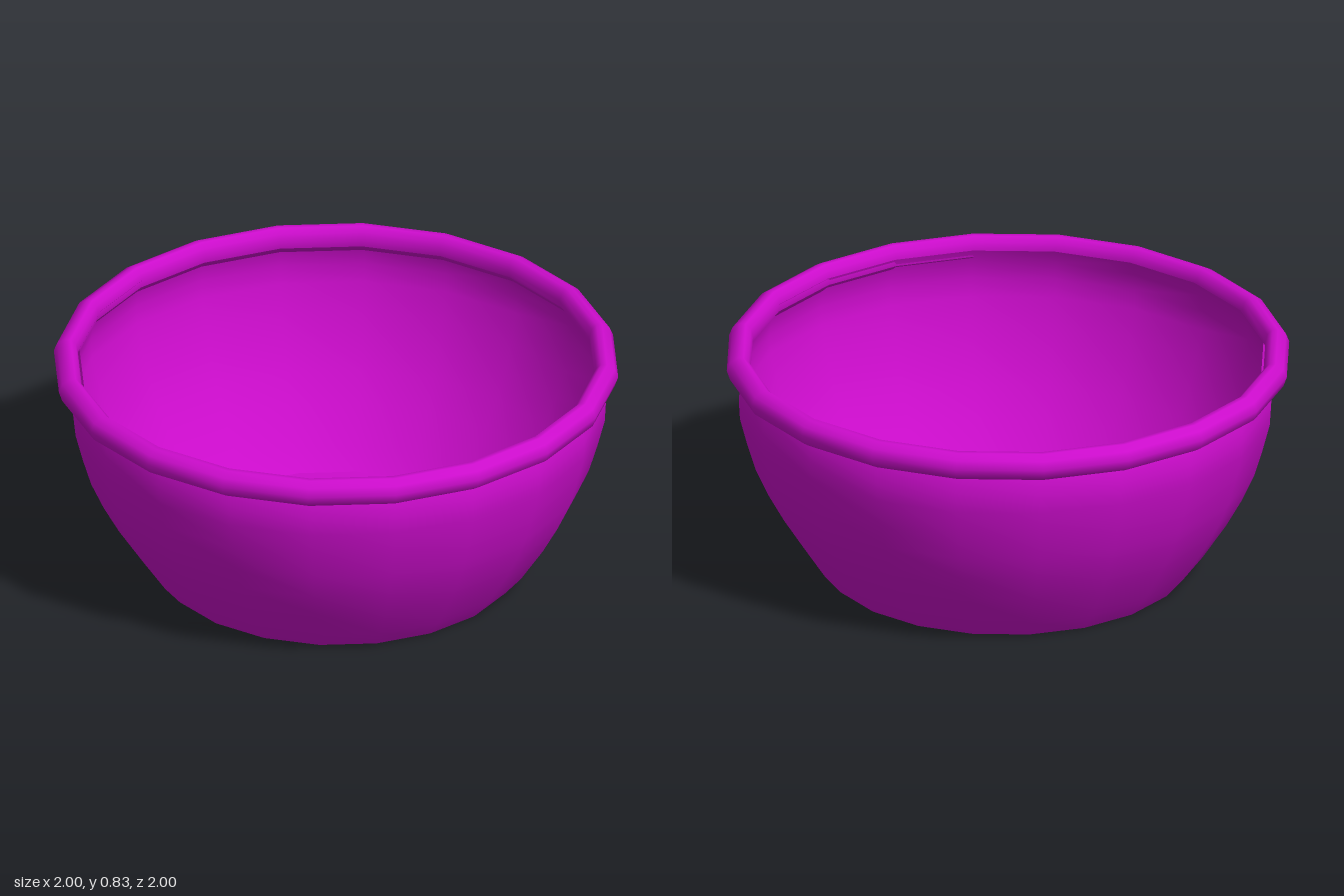
import * as THREE from 'three';

const SIDES = 20;

export function createModel() {
  const bowl = new THREE.Group();
  bowl.name = 'bowl';
  const material = new THREE.MeshStandardMaterial({ color: 0xcc0ccc, side: THREE.DoubleSide });

  const add = (name, geometry, parent) => {
    const mesh = new THREE.Mesh(geometry, material);
    mesh.name = name;
    parent.add(mesh);
    return mesh;
  };
  const lathe = (points) =>
    new THREE.LatheGeometry(points.map(([r, y]) => new THREE.Vector2(r, y)), SIDES);

  // Thin-walled body, sitting very slightly off the rim's axis
  const body = new THREE.Group();
  body.name = 'body';
  body.position.set(0.008, 0, -0.008);
  bowl.add(body);

  add('wall', lathe([
    [0.645, 0], [0.705, 0.07], [0.79, 0.2], [0.845, 0.3], [0.89, 0.4],
    [0.92, 0.5], [0.946, 0.6], [0.95, 0.67], [0.94, 0.735], [0.915, 0.79],
  ]), body);

  // Flat base, seen from inside and below
  const base = add('base', new THREE.CircleGeometry(0.645, SIDES), body);
  base.rotation.x = Math.PI / 2;

  // Rounded rim, a closed ring-shaped section
  add('rim', lathe([
    [0.92, 0.76], [0.94, 0.735], [0.965, 0.735], [0.988, 0.75], [1, 0.785],
    [0.988, 0.815], [0.96, 0.832], [0.94, 0.832], [0.922, 0.815], [0.915, 0.785],
    [0.92, 0.76],
  ]), bowl);

  return bowl;
}
